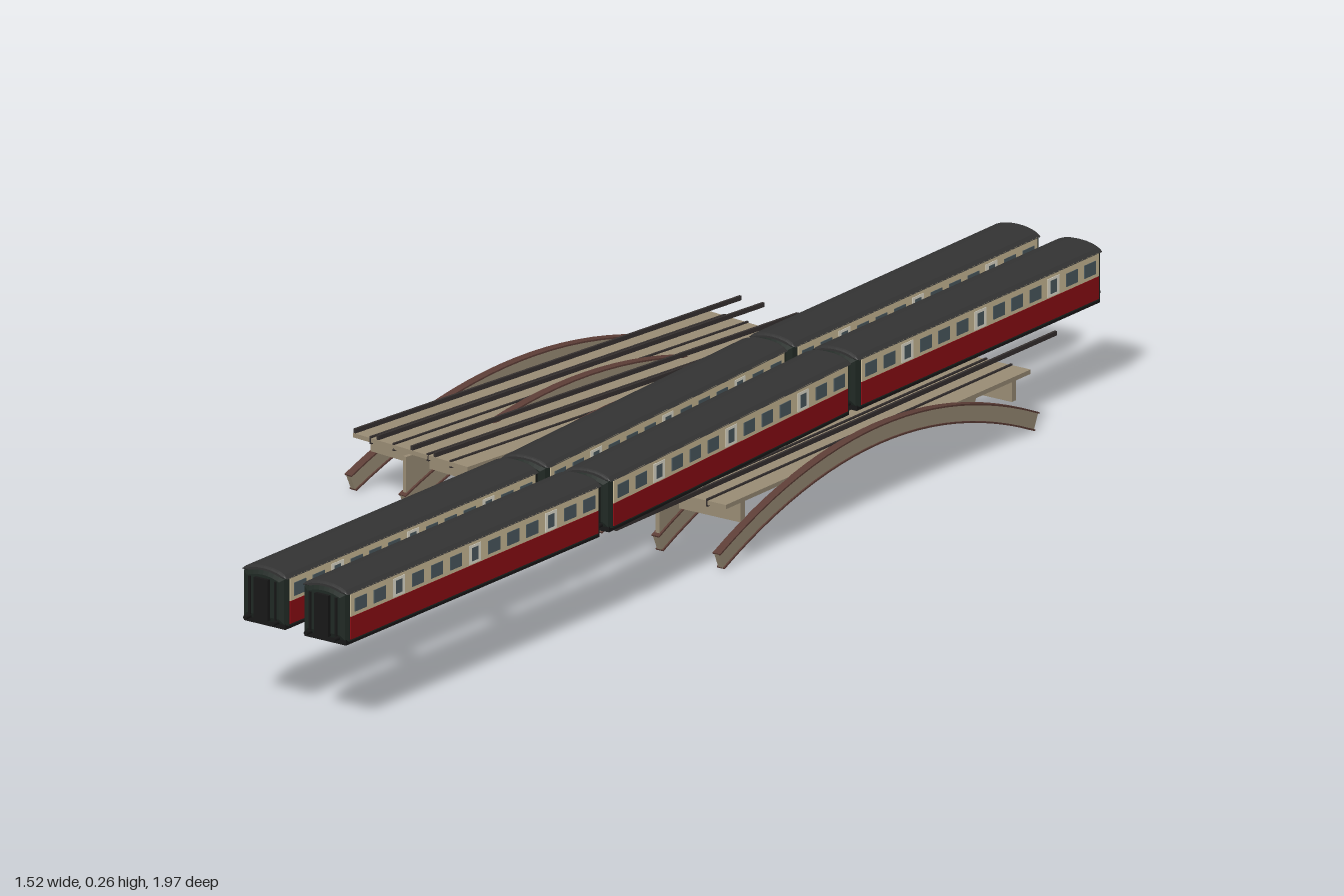
import * as THREE from 'three';

const mat = (name, color) => {
  const m = new THREE.MeshStandardMaterial({ color });
  m.name = name;
  return m;
};
const M = {
  roof: mat('roof grey', 0x333333),
  end: mat('end green black', 0x1f2823),
  black: mat('underframe black', 0x171717),
  red: mat('body red', 0x8c0c14),
  cream: mat('body cream', 0xcdbd98),
  glass: mat('window glass', 0x4c5a60),
  frame: mat('window frame white', 0xe6e2d2),
  stone: mat('bridge beige', 0x988b74),
  flange: mat('girder brown', 0x5c3d36),
  rail: mat('rail dark', 0x35302f),
};

function add(parent, name, geo, material) {
  const m = new THREE.Mesh(geo, material);
  m.name = name;
  parent.add(m);
  return m;
}

function box(parent, name, material, w, h, d, x, y, z) {
  const m = add(parent, name, new THREE.BoxGeometry(w, h, d), material);
  m.position.set(x, y, z);
  return m;
}

// Group whose local z runs from point a to point b on the ground plan
function along(name, a, b) {
  const g = new THREE.Group();
  g.name = name;
  g.position.set((a[0] + b[0]) / 2, 0, (a[1] + b[1]) / 2);
  g.rotation.y = Math.atan2(b[0] - a[0], b[1] - a[1]);
  return g;
}

// Section drawn in x and y, pulled along z, with rounded ends
function roundedPrism(shape, length, r) {
  const geo = new THREE.ExtrudeGeometry(shape, {
    depth: length - 2 * r, bevelThickness: r, bevelSize: r, bevelOffset: -r,
    bevelSegments: 2, curveSegments: 8,
  });
  return geo.translate(0, 0, -length / 2 + r);
}

function carriage(a, b) {
  const g = along('carriage', a, b);
  const L = Math.hypot(b[0] - a[0], b[1] - a[1]) - 0.016;

  // Dark core, showing as the ends
  const core = new THREE.Shape();
  core.moveTo(-0.047, 0.16);
  core.lineTo(0.047, 0.16);
  core.lineTo(0.047, 0.248);
  core.quadraticCurveTo(0, 0.27, -0.047, 0.248);
  add(g, 'carriageBody', roundedPrism(core, L, 0.012), M.end);

  // Arched roof
  const roof = new THREE.Shape();
  roof.moveTo(-0.05, 0.247);
  roof.lineTo(0.05, 0.247);
  roof.bezierCurveTo(0.036, 0.267, -0.036, 0.267, -0.05, 0.247);
  add(g, 'roof', roundedPrism(roof, L - 0.006, 0.004), M.roof);

  // Underframe with wheel trucks
  box(g, 'underframe', M.black, 0.09, 0.01, L - 0.01, 0, 0.159, 0);
  for (const e of [-1, 1]) {
    box(g, 'wheelTruck', M.black, 0.07, 0.008, 0.11, 0, 0.155, e * (L / 2 - 0.11));
    // Gangway, end posts and buffers
    box(g, 'gangway', M.black, 0.03, 0.075, 0.012, 0, 0.204, e * (L / 2 + 0.001));
    for (const s of [-1, 1]) {
      box(g, 'endPost', M.black, 0.004, 0.07, 0.006, s * 0.028, 0.205, e * L / 2);
      const buffer = add(g, 'buffer', new THREE.CylinderGeometry(0.004, 0.004, 0.018, 8), M.black);
      buffer.rotation.x = Math.PI / 2;
      buffer.position.set(s * 0.03, 0.166, e * (L / 2 + 0.003));
    }
  }

  // Painted sides with windows and doors
  const panel = L - 0.028, bays = 13;
  for (const s of [-1, 1]) {
    box(g, 'redSide', M.red, 0.003, 0.041, panel, s * 0.0475, 0.184, 0);
    box(g, 'creamSide', M.cream, 0.003, 0.043, panel, s * 0.0475, 0.2265, 0);
    for (let i = 0; i < bays; i++) {
      const z = ((i + 0.5) / bays - 0.5) * panel;
      const door = i % 4 === 2;
      if (door) box(g, 'doorFrame', M.frame, 0.002, 0.034, 0.034, s * 0.0488, 0.224, z);
      box(g, 'window', M.glass, 0.002, 0.024, door ? 0.018 : 0.034, s * 0.0493, 0.224, z);
    }
  }
  return g;
}

// Arched strip between two offsets from the arch line, lying along z
const SPAN = 0.93;
const archY = t => 0.016 + 0.104 * (1 - t * t);
function archStrip(lo, hi, width) {
  const outer = [], inner = [], n = 24;
  for (let i = 0; i <= n; i++) {
    const t = (i / n) * 2 - 1;
    const normal = new THREE.Vector2(0.208 * t / (SPAN / 2), 1).normalize();
    const p = new THREE.Vector2(t * SPAN / 2, archY(t));
    outer.push(p.clone().addScaledVector(normal, hi));
    inner.unshift(p.clone().addScaledVector(normal, lo));
  }
  return sideways(new THREE.Shape([...outer, ...inner]), width);
}
function sideways(shape, width) {
  return new THREE.ExtrudeGeometry(shape, { depth: width, bevelEnabled: false })
    .translate(0, 0, -width / 2).rotateY(-Math.PI / 2);
}

function bridge(name, a, b, railFrom, railTo) {
  const g = along(name, a, b);
  // Deck, with end beams below
  box(g, 'deck', M.stone, 0.27, 0.008, 0.9, 0, 0.104, 0);
  for (const e of [-1, 1]) box(g, 'endBeam', M.stone, 0.27, 0.036, 0.012, 0, 0.082, e * 0.4);

  // Arched girders: two outer and one in the middle
  for (const s of [-1, 0, 1]) {
    const girder = new THREE.Group();
    girder.name = 'archGirder';
    girder.position.set(s * 0.142, 0, s * 0.016);
    add(girder, 'archWeb', archStrip(-0.015, 0.015, 0.01), M.stone);
    add(girder, 'upperFlange', archStrip(0.014, 0.017, 0.016), M.flange);
    add(girder, 'lowerFlange', archStrip(-0.017, -0.014, 0.016), M.flange);
    g.add(girder);
  }

  // Walls filling the space between the middle arch and the deck
  for (const e of [-1, 1]) {
    const pts = [new THREE.Vector2(e * SPAN / 2, 0.1)];
    for (let t = 1; t > 0.46; t -= 0.09) pts.push(new THREE.Vector2(e * t * SPAN / 2, Math.min(0.1, archY(t))));
    add(g, 'spandrelWall', sideways(new THREE.Shape(pts), 0.008), M.stone);
  }

  // Two tracks of rails, with bearers on and under the deck
  for (const track of [-0.0675, 0.0675]) {
    for (const s of [-0.027, 0.027]) {
      const x = track + s;
      box(g, 'rail', M.rail, 0.005, 0.008, railTo - railFrom, x, 0.131, (railFrom + railTo) / 2);
      box(g, 'railBearer', M.rail, 0.004, 0.014, 0.9, x, 0.104, 0);
    }
  }
  return g;
}

export function createModel() {
  const model = new THREE.Group();
  model.name = 'trainsOnBridges';

  // Two trains side by side on a gentle curve
  const lines = [
    [[0.622, -0.968], [0.17, -0.36], [-0.272, 0.283], [-0.735, 0.868]],
    [[0.727, -0.885], [0.278, -0.288], [-0.165, 0.358], [-0.632, 0.955]],
  ];
  lines.forEach((line, k) => {
    const train = new THREE.Group();
    train.name = k ? 'rightTrain' : 'leftTrain';
    for (let i = 0; i < 3; i++) train.add(carriage(line[i], line[i + 1]));
    // Couplings at the joints
    for (let i = 1; i < 3; i++) {
      const c = along('coupling', line[i - 1], line[i + 1]);
      c.position.set(line[i][0], 0, line[i][1]);
      box(c, 'couplingBar', M.black, 0.03, 0.05, 0.03, 0, 0.19, 0);
      train.add(c);
    }
    model.add(train);
  });

  // Links between neighbouring carriages
  const mix = (a, b, f) => [a[0] + (b[0] - a[0]) * f, a[1] + (b[1] - a[1]) * f];
  for (let i = 0; i < 3; i++) {
    for (const f of [0.32, 0.68]) {
      const link = along('crossLink', mix(lines[0][i], lines[0][i + 1], f), mix(lines[1][i], lines[1][i + 1], f));
      box(link, 'crossLinkBar', M.black, 0.03, 0.03, 0.06, 0, 0.185, 0);
      model.add(link);
    }
  }

  // Arched bridges: one beneath the trains, one empty beside them
  model.add(bridge('bridgeUnderTrains', [-0.03, 0.025], [0.532, -0.718], -0.72, 0.58));
  model.add(bridge('emptyBridge', [-0.463, -0.202], [0.188, -0.872], -0.49, 0.49));
  return model;
}
